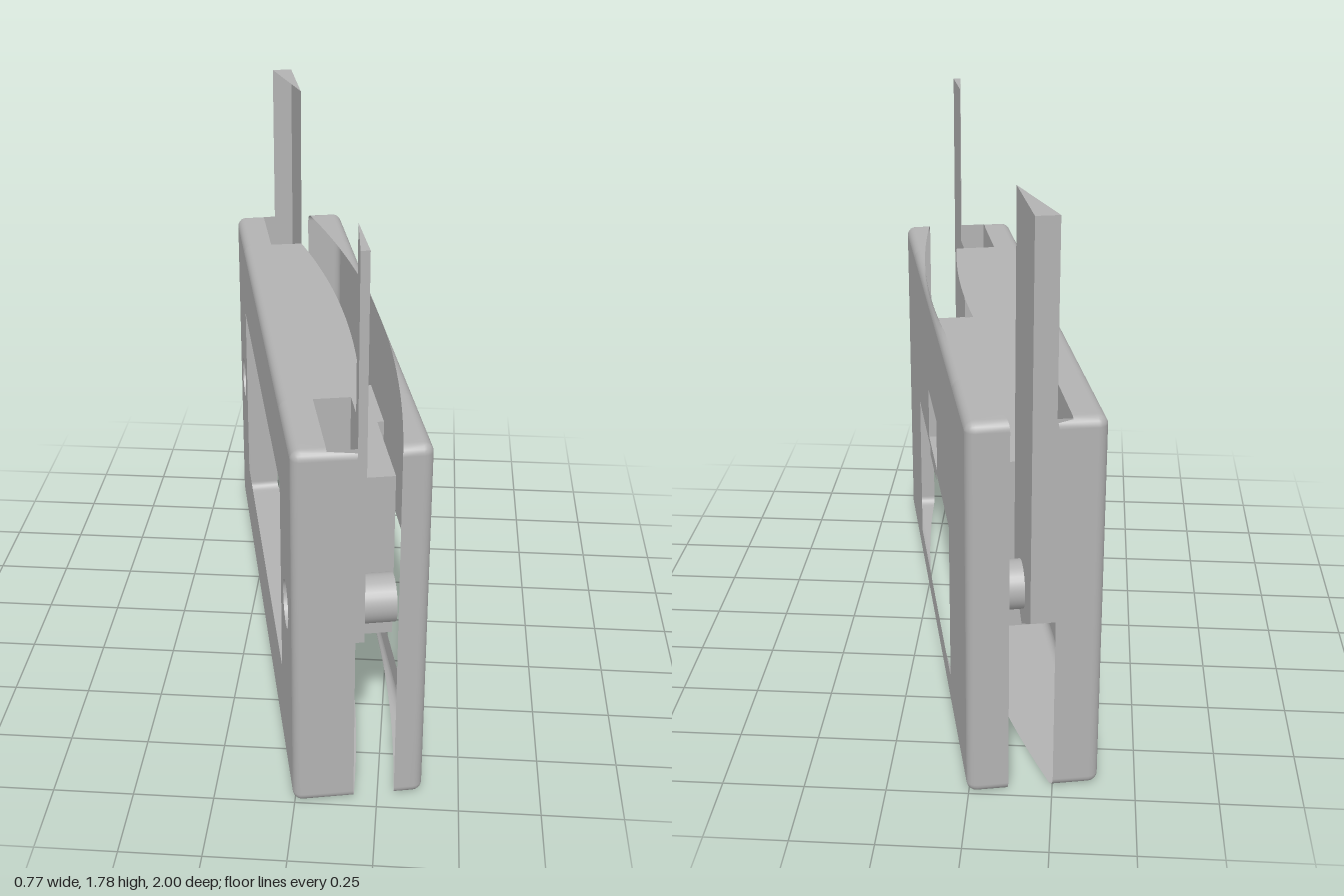
import * as THREE from 'three';

const grey = new THREE.MeshStandardMaterial({ color: 0xb2b2b2, side: THREE.DoubleSide });
grey.name = 'grey';

// Local frame: x = thickness, y = height, z = length
const HALF = 0.985, H = 1.213, OUT = 0.2, R = 0.03, PIN_Y = 0.607, PIN_Z = 0.8, PIN_R = 0.075;
const SLOT_IN = 0.65, SLOT_OUT = 0.972, SLOT_L = -0.1, SLOT_R = 0.013, SLOT_Y = 0.57, TIP_Y = 0.475;
const BLOCK_Y0 = 0.375, BLOCK_Y1 = 0.94, BLOCK_X = 0.152, BLOCK_Z = 0.655;

// Inner curved rims of the two shells
const bodyRim = z => 0.077 + 0.022 * z - 0.118 * z * z;
const coverRim = z => 0.19 + 0.017 * z - 0.1 * z * z;

const rect = (a0, a1, b0, b1) => [[a0, b0], [a1, b0], [a1, b1], [a0, b1]];
const circle = (cx, cy, r) => Array.from({ length: 32 }, (_, i) =>
  [cx + r * Math.cos(i * Math.PI / 16), cy + r * Math.sin(i * Math.PI / 16)]);

function mesh(group, name, geometry) {
  const m = new THREE.Mesh(geometry, grey);
  m.name = name;
  group.add(m);
  return m;
}

// Flat panel with holes, lying across the given axis
function panel(group, name, axis, at, outline, holes = []) {
  const toShape = pts => pts.map(p => new THREE.Vector2(p[0], p[1]));
  const shape = new THREE.Shape(toShape(outline));
  for (const h of holes) shape.holes.push(new THREE.Path(toShape(h)));
  const g = new THREE.ShapeGeometry(shape);
  const p = g.attributes.position;
  for (let i = 0; i < p.count; i++) {
    const a = p.getX(i), b = p.getY(i);
    if (axis === 'x') p.setXYZ(i, at, b, a);
    else if (axis === 'y') p.setXYZ(i, a, at, b);
    else p.setXYZ(i, a, b, at);
  }
  g.computeVertexNormals();
  return mesh(group, name, g);
}

// Outline of a shell in (z, y), inset from its full size; same point count for each inset
function outline(inset, breaks) {
  const pts = [], r = R - inset, a = HALF - R, b = H / 2 - R;
  const corner = (cz, cy, start) => {
    for (let i = 0; i <= 5; i++) {
      const t = start + i * Math.PI / 10;
      pts.push([cz + r * Math.cos(t), H / 2 + cy + r * Math.sin(t)]);
    }
  };
  corner(a, b, 0);
  for (const z of [...breaks].reverse()) pts.push([z, H / 2 + b + r]);
  corner(-a, b, Math.PI / 2);
  corner(-a, -b, Math.PI);
  for (const z of breaks) pts.push([z, H / 2 - b - r]);
  corner(a, -b, 1.5 * Math.PI);
  return pts;
}

// Shell with a rounded outer face and an open curved rim; side is -1 or 1
function shell(name, side, rim, holes) {
  const group = new THREE.Group();
  group.name = name;
  const breaks = [-SLOT_IN - 0.001, -SLOT_IN, SLOT_IN, SLOT_IN + 0.001];
  for (let i = -13; i <= 13; i++) breaks.push(i * 0.07);
  breaks.sort((p, q) => p - q);
  panel(group, name + 'Face', 'x', side * OUT, outline(R - 0.0005, breaks), holes);

  const pos = [], idx = [];
  let n = 0;
  for (let k = 0; k <= 6; k++) {
    const t = Math.min(k, 5) * Math.PI / 10;
    const loop = outline(Math.min(R - 0.0005, R * (1 - Math.sin(t))), breaks);
    n = loop.length;
    for (const [z, y] of loop) {
      const edge = rim(z, y) * side;
      pos.push(side * (k === 6 ? edge : Math.max(edge, OUT - R * (1 - Math.cos(t)))), y, z);
    }
  }
  for (let k = 0; k < 6; k++) for (let i = 0; i < n; i++) {
    const j = (i + 1) % n, a = k * n + i, b = k * n + j, c = a + n, d = b + n;
    if (side > 0) idx.push(a, b, c, b, d, c);
    else idx.push(a, c, b, b, c, d);
  }
  const g = new THREE.BufferGeometry();
  g.setAttribute('position', new THREE.Float32BufferAttribute(pos, 3));
  g.setIndex(idx);
  g.computeVertexNormals();
  mesh(group, name + 'Rim', g);
  return group;
}

function tube(group, name, x0, x1, z) {
  const g = new THREE.CylinderGeometry(PIN_R, PIN_R, x1 - x0, 32, 1, true);
  g.rotateZ(Math.PI / 2);
  mesh(group, name, g).position.set((x0 + x1) / 2, PIN_Y, z);
}

// Pointed slot in the body, with the blade that rises from it
function slotAndBlade(s) {
  const group = new THREE.Group();
  group.name = s > 0 ? 'frontBlade' : 'rearBlade';
  const mid = s * (SLOT_IN + SLOT_OUT) / 2, zi = s * SLOT_IN, zo = s * SLOT_OUT;
  const top = 1.783, zb = s > 0 ? 0.755 : -0.65, xa = bodyRim(zo);
  const foot = [[zi, SLOT_Y], [mid, TIP_Y], [zo, SLOT_Y]];
  const pin = [circle(s * PIN_Z, PIN_Y, PIN_R)];
  panel(group, 'slotWall', 'x', SLOT_L, [...foot, [zo, H - 0.003], [zi, H - 0.003]], pin);
  panel(group, 'bladeFace', 'x', SLOT_R,
    [...foot, [zo, top], [zb, top], [zb, H - 0.003], [zi, H - 0.003]], pin);
  panel(group, 'bladeEnd', 'z', zo, [[SLOT_L, SLOT_Y], [SLOT_R, SLOT_Y], [SLOT_R, top],
    [xa, top], [xa, H - 0.003], [SLOT_L, H - 0.003]]);
  panel(group, 'slotEnd', 'z', zi, rect(SLOT_L, SLOT_R, BLOCK_Y1, H - 0.003));
  panel(group, 'bladeTop', 'y', top, [[xa, zo], [SLOT_R, zo], [SLOT_R, zb]]);

  // V-shaped foot
  for (const z of [zi, zo]) {
    const w = Math.abs(z - mid), h = SLOT_Y - TIP_Y;
    const g = new THREE.PlaneGeometry(SLOT_R - SLOT_L, Math.hypot(w, h));
    g.rotateX(-Math.PI / 2);
    g.rotateX(-Math.atan2(h, z - mid > 0 ? w : -w));
    mesh(group, 'bladeFoot', g).position.set((SLOT_L + SLOT_R) / 2, (SLOT_Y + TIP_Y) / 2, (z + mid) / 2);
  }
  tube(group, 'pinBore', -OUT, SLOT_L, s * PIN_Z);
  tube(group, 'pin', SLOT_R, 0.127, s * PIN_Z);
  return group;
}

// Open housing between the shells, with a bridge-shaped wall and a small port
function housing() {
  const group = new THREE.Group();
  group.name = 'housing';
  const z = BLOCK_Z, c = 0.41, pz = 0.142, p0 = 0.68, p1 = 0.862;
  panel(group, 'housingWall', 'x', BLOCK_X, [[-z, BLOCK_Y0], [-c, BLOCK_Y0], [-c, 0.58], [c, 0.58],
    [c, BLOCK_Y0], [z, BLOCK_Y0], [z, BLOCK_Y1], [-z, BLOCK_Y1]], [rect(-pz, pz, p0, p1)]);
  panel(group, 'housingTop', 'y', BLOCK_Y1, rect(-OUT, BLOCK_X, -z, z));
  for (const s of [-1, 1]) {
    panel(group, 'housingEnd', 'z', s * z, [[-OUT, BLOCK_Y0], [BLOCK_X, BLOCK_Y0], [BLOCK_X, BLOCK_Y1],
      [SLOT_R, BLOCK_Y1], [SLOT_R, SLOT_Y], [SLOT_L, SLOT_Y], [SLOT_L, BLOCK_Y1], [-OUT, BLOCK_Y1]]);
    panel(group, 'portSide', 'z', s * pz, rect(BLOCK_X, OUT, p0, p1));
  }
  for (const y of [p0, p1]) panel(group, 'portEdge', 'y', y, rect(BLOCK_X, OUT, -pz, pz));
  return group;
}

export function createModel() {
  const model = new THREE.Group();
  model.name = 'bladeHolder';
  const tilted = new THREE.Group();
  tilted.name = 'assembly';
  tilted.rotation.y = 0.198;
  model.add(tilted);

  const slotted = (z, y) => y > 1.205 && Math.abs(z) > SLOT_IN && Math.abs(z) < 0.975 ? SLOT_L : bodyRim(z);
  tilted.add(shell('body', -1, slotted, [
    rect(-0.655, 0.655, 0.275, BLOCK_Y1),
    circle(-PIN_Z, PIN_Y, PIN_R), circle(PIN_Z, PIN_Y, PIN_R)]));
  tilted.add(shell('cover', 1, coverRim, [
    rect(-0.515, 0.515, 0.115, 0.66), rect(-0.142, 0.142, 0.68, 0.862)]));
  tilted.add(housing(), slotAndBlade(1), slotAndBlade(-1));
  return model;
}
